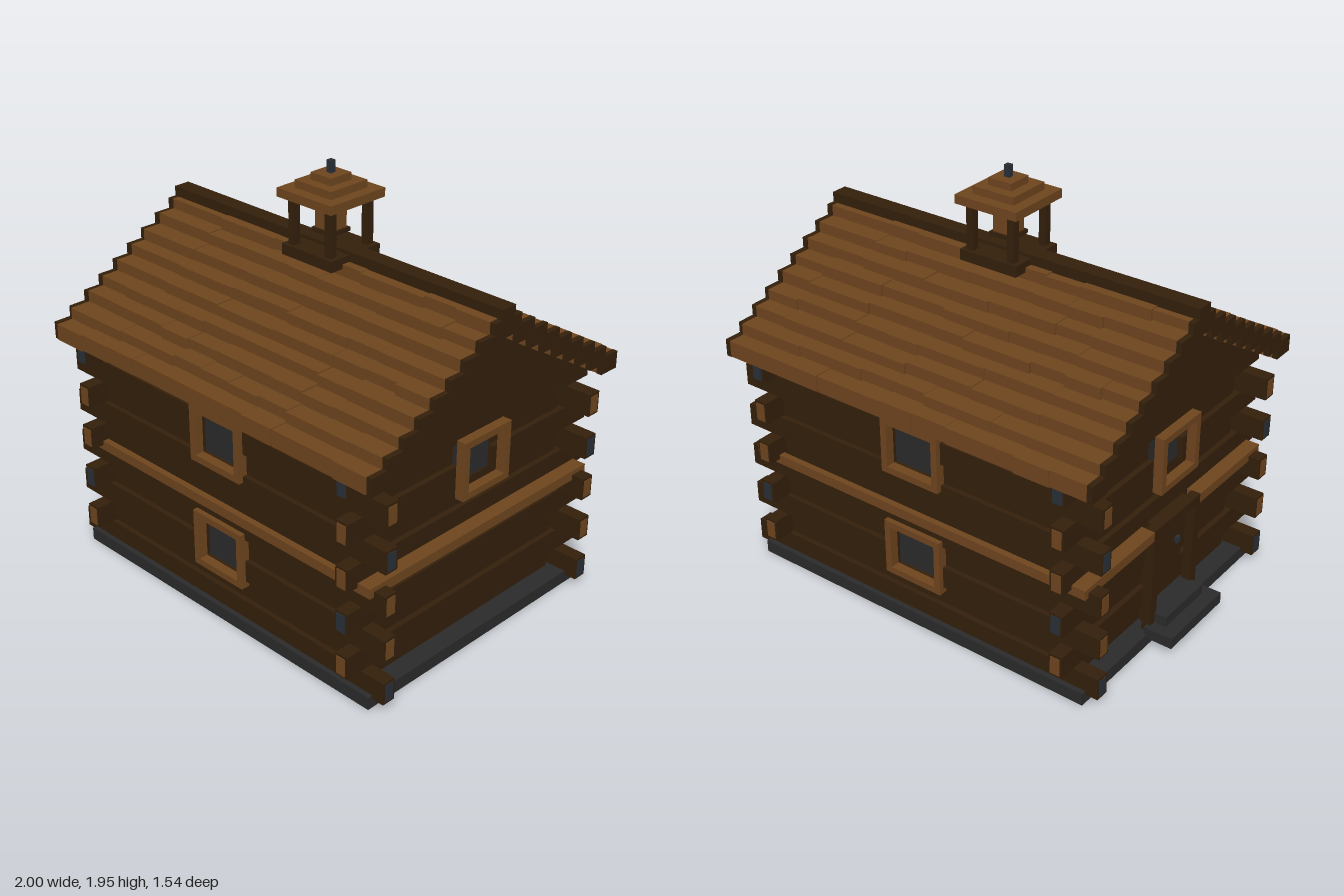
import * as THREE from 'three';

const mat = (name, color) => new THREE.MeshStandardMaterial({ name, color });

export function createModel() {
  const dark = mat('darkTimber', 0x331f0b);
  const light = mat('lightTimber', 0x6e451e);
  const grey = mat('greyStone', 0x2b2b2b);
  const slate = mat('slate', 0x283037);
  const root = new THREE.Group();
  root.name = 'logCabin';
  const CX = 0.026; // centre line of the building

  const group = (name, parent = root) => {
    const g = new THREE.Group();
    g.name = name;
    parent.add(g);
    return g;
  };
  // Box given by its minimum and maximum on each axis
  const box = (name, m, x0, x1, y0, y1, z0, z1, parent = root) => {
    const mesh = new THREE.Mesh(new THREE.BoxGeometry(x1 - x0, y1 - y0, z1 - z0), m);
    mesh.position.set((x0 + x1) / 2, (y0 + y1) / 2, (z0 + z1) / 2);
    mesh.name = name;
    parent.add(mesh);
    return mesh;
  };
  // Box centred on the building's axis
  const tier = (name, m, hx, y0, y1, hz, parent) =>
    box(name, m, CX - hx, CX + hx, y0, y1, -hz, hz, parent);

  // Foundation and inner walls
  tier('foundation', grey, 0.902, 0, 0.06, 0.69, root);
  tier('wallCore', dark, 0.77, 0.06, 1.07, 0.577, root);

  // Log courses, split in two where a window opening passes through
  const logs = group('logs');
  const longCourse = (name, half, y0, y1, s, near, far, open) => {
    const spans = open ? [[-half, -open], [open, half]] : [[-half, half]];
    const zs = [s * near, s * far].sort((a, b) => a - b);
    for (const [a, b] of spans) box(name, dark, CX + a, CX + b, y0, y1, ...zs, logs);
  };
  const crossCourse = (name, half, y0, y1, s, near, far, open) => {
    const spans = open ? [[-half, -open], [open, half]] : [[-half, half]];
    const xs = [CX + s * near, CX + s * far].sort((a, b) => a - b);
    for (const [a, b] of spans) box(name, dark, ...xs, y0, y1, a, b, logs);
  };
  const longEnds = [slate, light, light, slate, light];
  const crossEnds = [light, slate, light, light, slate];
  for (let i = 0; i < 5; i++) {
    const y = 0.042 + i * 0.2085, yTop = y + 0.104;
    const yc = yTop, ycTop = i === 4 ? 1.068 : yc + 0.104;
    const longOpen = i === 1 || i === 4 ? 0.122 : 0;
    const fillOpen = i === 1 || i === 3 ? 0.122 : 0;
    for (const s of [-1, 1]) {
      // Overlapping corner logs and the shorter logs set between them
      longCourse('longLog', 0.961, y, yTop, s, 0.6, 0.666, longOpen);
      longCourse('longInfill', 0.77, yc, ycTop, s, 0.57, 0.641, fillOpen);
      crossCourse('crossLog', 0.748, yc, ycTop, s, 0.77, 0.836, i === 3 ? 0.114 : 0);
      crossCourse('crossInfill', 0.577, y, yTop, s, 0.76, 0.811, i === 4 ? 0.114 : 0);
      // Cut faces at both ends
      const zc = s * 0.633, xc = CX + s * 0.803;
      for (const e of [-1, 1]) {
        const xe = CX + e * 0.961, ze = e * 0.749;
        box('longLogEnd', longEnds[i], xe - 0.003, xe + 0.003, y + 0.01, y + 0.093, zc - 0.023, zc + 0.023, logs);
        box('crossLogEnd', crossEnds[i], xc - 0.023, xc + 0.023, yc + 0.01, ycTop - 0.01, ze - 0.003, ze + 0.003, logs);
      }
    }
  }

  // Belt trim between the storeys, open at the doorway
  const belt = group('beltTrim');
  for (const s of [-1, 1]) {
    box('longBelt', light, -0.877, 0.928, 0.538, 0.584, s * 0.675 - 0.015, s * 0.675 + 0.015, belt);
    box('doorSideBelt', light, -0.877, -0.81, 0.538, 0.584, s > 0 ? 0.18 : -0.66, s > 0 ? 0.66 : -0.18, belt);
  }
  box('gableBelt', light, 0.86, 0.928, 0.538, 0.584, -0.66, 0.66, belt);

  // Window facing +z around its own origin: four frame bars and a set-back pane
  const windowUnit = (o, paneDepth) => {
    const g = new THREE.Group();
    g.name = 'window';
    const h = 0.135, b = 0.031, depth = 0.045;
    for (const s of [-1, 1]) {
      const u = s * (o - b / 2), v = s * (h - b / 2);
      box('frameSide', light, u - b / 2, u + b / 2, -h, h, -depth, 0, g);
      box('frameRail', light, -o + b, o - b, v - b / 2, v + b / 2, -depth, 0, g);
    }
    box('pane', grey, -o + b, o - b, -h + b, h - b, -paneDepth - 0.009, -paneDepth, g);
    return g;
  };
  const place = (w, x, y, z, turn) => {
    w.position.set(x, y, z);
    w.rotation.y = turn;
    root.add(w);
  };
  for (const y of [0.355, 0.877]) {
    place(windowUnit(0.152, 0.06), CX, y, 0.69, 0);
    place(windowUnit(0.152, 0.06), CX, y, -0.69, Math.PI);
  }
  place(windowUnit(0.144, 0.09), 0.928, 0.88, 0, Math.PI / 2);
  place(windowUnit(0.144, 0.09), -0.877, 0.88, 0, -Math.PI / 2);

  // Door with planks, frame and steps
  const door = group('door');
  for (const s of [-1, 1]) {
    box('doorPost', dark, -0.877, -0.832, 0.06, 0.585, s * 0.16 - 0.022, s * 0.16 + 0.022, door);
  }
  box('lintel', dark, -0.877, -0.81, 0.54, 0.584, -0.138, 0.138, door);
  for (let i = 0; i < 4; i++) {
    const z = -0.1035 + i * 0.069;
    box('doorPlank', dark, -0.82, -0.79, 0.06, 0.54, z - 0.032, z + 0.032, door);
  }
  box('doorHandle', slate, -0.835, -0.82, 0.36, 0.39, 0.08, 0.105, door);
  box('lowerStep', grey, -1, -0.86, 0.042, 0.095, -0.205, 0.205, door);
  box('upperStep', grey, -0.935, -0.82, 0.095, 0.145, -0.15, 0.15, door);

  // Stepped gable, shingle courses and dark verge boards
  const roof = group('roof');
  let seed = 11;
  const rand = () => (seed = (seed * 16807) % 2147483647) / 2147483647;
  for (let i = 0; i < 9; i++) {
    const out = 0.762 - i * 0.085;
    const top = 1.14 + i * 0.0505;
    const inner = Math.max(out - 0.105, 0);
    if (out > 0.1) tier('gableCourse', dark, 0.836, top - 0.075, top - 0.0235, out - 0.088, roof);
    for (const s of [-1, 1]) {
      const span = (a, b) => (s > 0 ? [a, b] : [-b, -a]);
      for (const x of [-0.945, 0.971]) {
        box('vergeBoard', dark, x, x + 0.025, top - 0.08, top, ...span(inner, out), roof);
      }
      let x = -0.92;
      while (x < 0.96) {
        let x1 = x + 0.172 * (1 + Math.floor(rand() * 2));
        if (x1 > 0.9) x1 = 0.971;
        const j = (rand() - 0.5) * 0.016;
        const k = (rand() - 0.5) * 0.007;
        box('shingle', light, x, x1, top - 0.076 + k, top + k, ...span(inner, out + j), roof);
        x = x1;
      }
    }
  }
  box('ridgeBeam', dark, -0.945, 0.996, 1.5, 1.59, -0.04, 0.04, roof);

  // Bell tower
  const tower = group('bellTower');
  tier('towerBase', dark, 0.148, 1.525, 1.575, 0.145, tower);
  for (const sx of [-1, 1]) for (const sz of [-1, 1]) {
    const x = CX + sx * 0.107, z = sz * 0.111;
    box('towerPost', dark, x - 0.017, x + 0.017, 1.57, 1.787, z - 0.018, z + 0.018, tower);
  }
  tier('towerRoofLower', light, 0.16, 1.785, 1.825, 0.16, tower);
  tier('towerRoofMiddle', light, 0.107, 1.825, 1.86, 0.107, tower);
  tier('towerRoofUpper', light, 0.06, 1.86, 1.893, 0.06, tower);
  tier('finial', slate, 0.013, 1.893, 1.947, 0.013, tower);
  tier('bellHanger', dark, 0.01, 1.77, 1.787, 0.01, tower);
  tier('bellCrown', light, 0.022, 1.72, 1.75, 0.022, tower);
  tier('bellBody', light, 0.047, 1.65, 1.722, 0.047, tower);
  tier('bellRim', dark, 0.058, 1.632, 1.65, 0.058, tower);

  return root;
}
